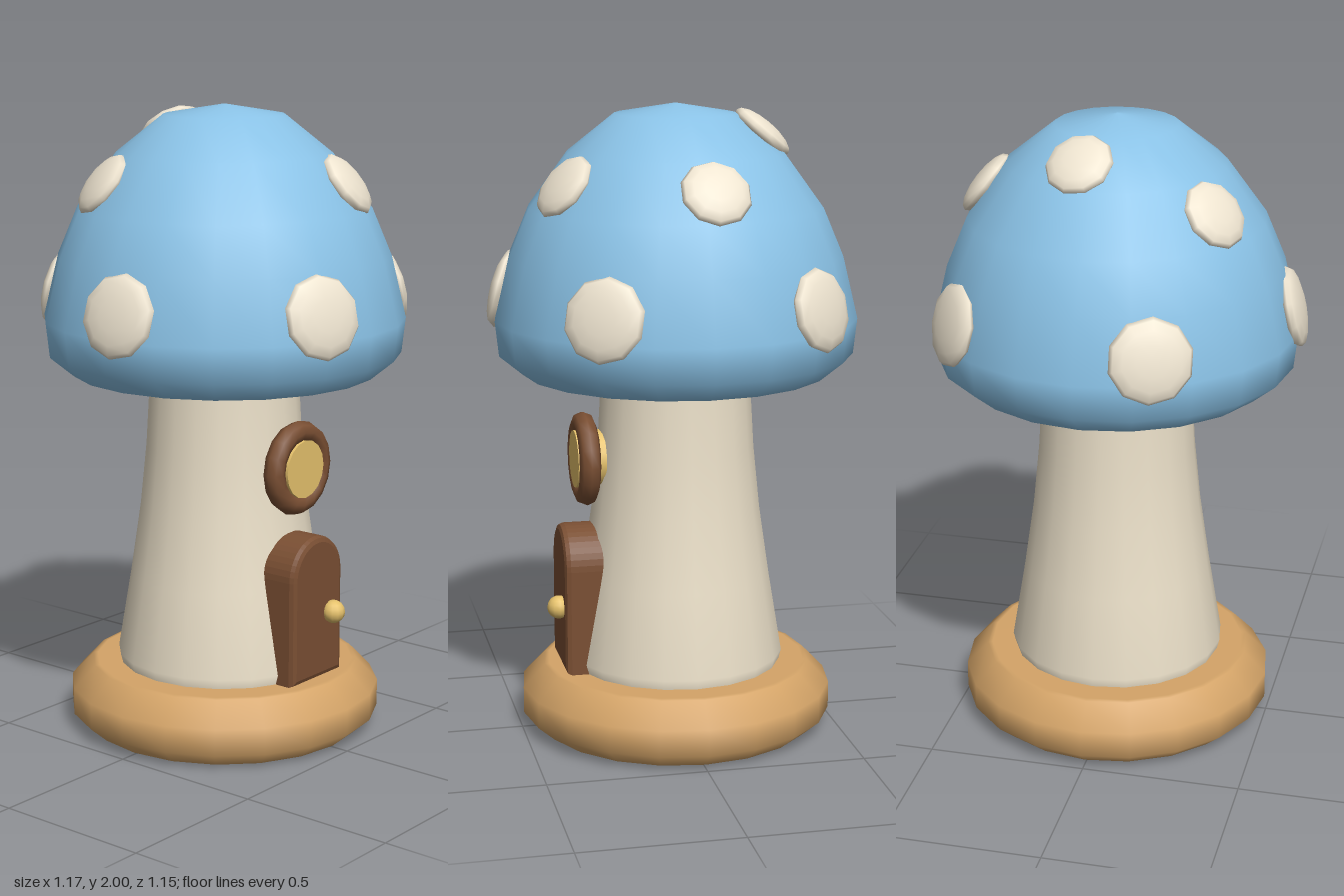
import * as THREE from 'three';

const SIDES = 20;
const paint = (color) => new THREE.MeshStandardMaterial({ color });
const BLUE = paint(0x8ac2e6), CREAM = paint(0xeee4d0), WALL = paint(0xeadfc8);
const TAN = paint(0xd4a468), BROWN = paint(0x7a4f33), GOLD = paint(0xe6c26c);

export function createModel() {
  const model = new THREE.Group();
  model.name = 'mushroomHouse';
  const house = new THREE.Group();
  house.name = 'house';
  house.position.set(0.005, 0, -0.005);
  model.add(house);

  function add(name, geometry, material, x = 0, y = 0, z = 0) {
    const mesh = new THREE.Mesh(geometry, material);
    mesh.name = name;
    mesh.position.set(x, y, z);
    house.add(mesh);
    return mesh;
  }
  const lathe = (points) =>
    new THREE.LatheGeometry(points.map(([r, y]) => new THREE.Vector2(r, y)), SIDES);

  // Round base slab with softened rim
  add('base', lathe([[0, 0], [0.43, 0], [0.445, 0.002], [0.5, 0.05], [0.5, 0.135],
    [0.43, 0.208], [0.415, 0.21], [0, 0.21]]), TAN);

  // Flared stem
  add('stem', lathe([[0.335, 0.2], [0.345, 0.24], [0.302, 0.5], [0.27, 0.72],
    [0.25, 0.92], [0.238, 1.13], [0.236, 1.2]]), WALL);

  // Cap dome and its underside
  add('cap', lathe([[0.47, 1.16], [0.485, 1.163], [0.56, 1.225], [0.572, 1.335], [0.525, 1.53],
    [0.462, 1.68], [0.338, 1.85], [0.19, 1.968], [0, 2]]), BLUE);
  add('capUnderside', lathe([[0.2, 1.128], [0.26, 1.132], [0.49, 1.164]]), GOLD);

  // Flattened spots: x, y, z on the cap, radius, upward tilt in degrees
  const spots = [
    [-0.18, 1.41, 0.52, 0.13, 14], [0.455, 1.41, 0.31, 0.13, 14],
    [0.425, 1.41, -0.355, 0.13, 14], [-0.22, 1.41, -0.505, 0.13, 14],
    [-0.548, 1.41, 0.045, 0.13, 14],
    [0.14, 1.765, 0.372, 0.11, 38], [0.405, 1.765, -0.035, 0.11, 38],
    [-0.342, 1.765, -0.2, 0.11, 38], [0.05, 1.91, -0.265, 0.105, 50],
  ];
  const up = new THREE.Vector3(0, 1, 0);
  for (const [x, y, z, radius, tilt] of spots) {
    const t = THREE.MathUtils.degToRad(tilt);
    const normal = new THREE.Vector3(x, 0, z).normalize().multiplyScalar(Math.cos(t));
    normal.y = Math.sin(t);
    const spot = add('capSpot', new THREE.SphereGeometry(1, 10, 8), CREAM, x, y, z);
    spot.scale.set(radius, 0.036, radius);
    spot.quaternion.setFromUnitVectors(up, normal);
  }

  // Arched door with a bevelled edge
  const bevel = 0.018, half = 0.127 - bevel;
  const arch = new THREE.Shape();
  arch.moveTo(-half, 0);
  arch.lineTo(half, 0);
  arch.lineTo(half, 0.32);
  arch.absarc(0, 0.32, half, 0, Math.PI, false);
  arch.closePath();
  add('door', new THREE.ExtrudeGeometry(arch, {
    depth: 0.134, curveSegments: 10, bevelThickness: bevel, bevelSize: bevel, bevelSegments: 2,
  }), BROWN, 0.003, 0.21 + bevel, 0.228);
  add('doorKnob', new THREE.SphereGeometry(0.037, 12, 8), GOLD, 0.066, 0.42, 0.393);

  // Round window
  add('windowFrame', new THREE.TorusGeometry(0.116, 0.034, 8, 16), BROWN, 0, 0.885, 0.295);
  const pane = add('windowPane', new THREE.CylinderGeometry(0.092, 0.092, 0.09, 16), GOLD, 0, 0.885, 0.283);
  pane.rotation.x = Math.PI / 2;

  return model;
}
